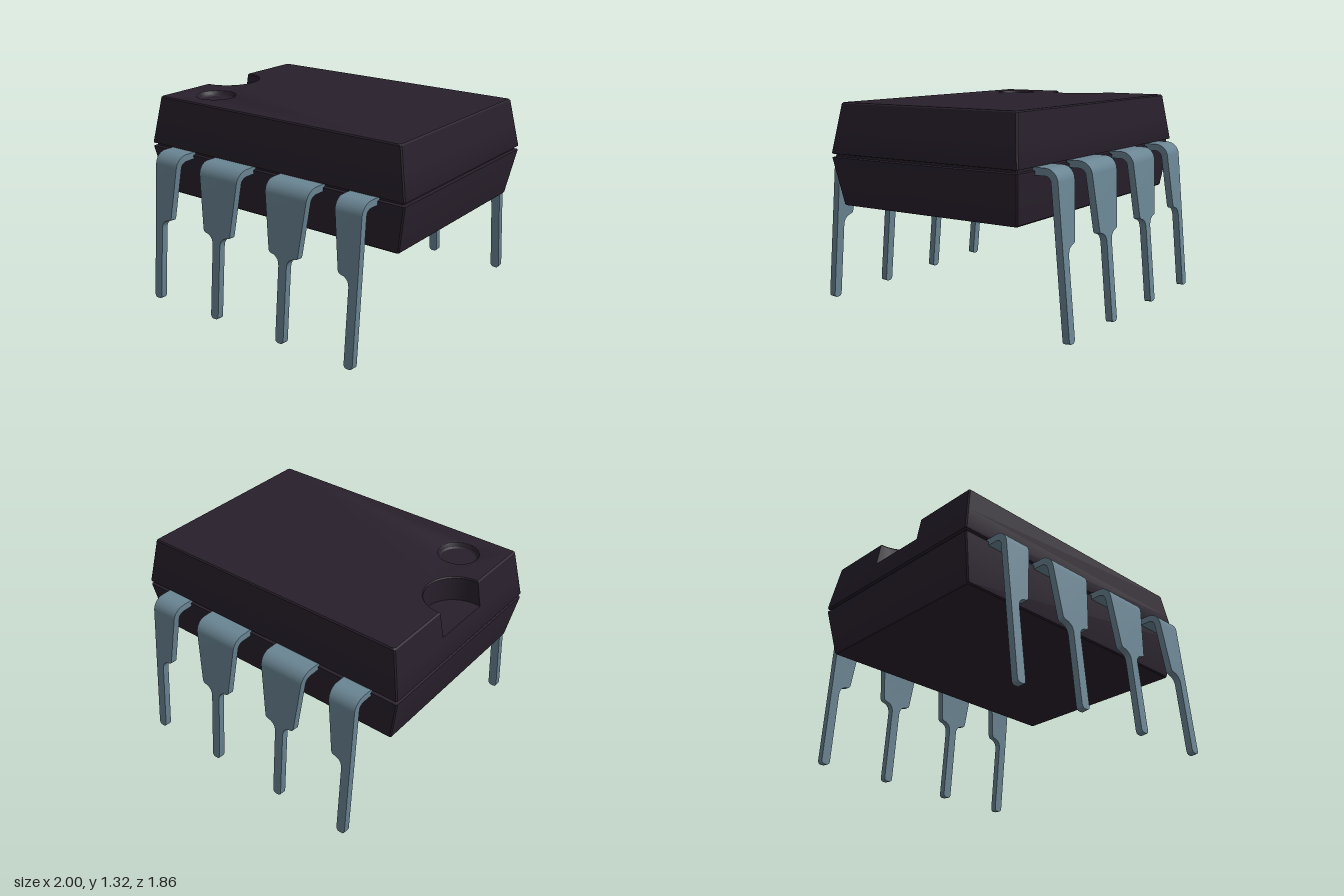
import * as THREE from 'three';
import { mergeGeometries, toCreasedNormals } from 'three/addons/utils/BufferGeometryUtils.js';

const bodyMaterial = new THREE.MeshStandardMaterial({ color: 0x28202c });
const pinMaterial = new THREE.MeshStandardMaterial({ color: 0x6a8593 });

const TOP = 1.32, FLOOR = 1.155;            // package top, notch floor
const NOTCH_X = -0.93, NOTCH_R = 0.205;
const DIMPLE = { x: -0.67, z: 0.415, r: 0.138 };

// Skin a list of equal-length closed loops of Vector3
function loft(loops, capEnd = false) {
  const out = [];
  const push = (...ps) => ps.forEach(p => out.push(p.x, p.y, p.z));
  for (let i = 0; i < loops.length - 1; i++) {
    const A = loops[i], B = loops[i + 1], n = A.length;
    for (let j = 0; j < n; j++) {
      const k = (j + 1) % n;
      push(A[j], A[k], B[k], A[j], B[k], B[j]);
    }
  }
  if (capEnd) {
    const L = loops[loops.length - 1];
    for (let j = 1; j < L.length - 1; j++) push(L[0], L[j], L[j + 1]);
  }
  const g = new THREE.BufferGeometry();
  g.setAttribute('position', new THREE.Float32BufferAttribute(out, 3));
  return g;
}

// Flat horizontal face from plan points, facing up or down
function flat(points, y, up = true, hole = null) {
  const shape = new THREE.Shape(points);
  if (hole) shape.holes.push(hole);
  return new THREE.ShapeGeometry(shape, 24).rotateX(up ? -Math.PI / 2 : Math.PI / 2).translate(0, y, 0);
}

// Semicircular notch edge, angles in quarter turns
function notchArc(r, from, to) {
  const pts = [];
  for (let i = 0; i <= 24; i++) {
    const a = (from + (to - from) * i / 24) * Math.PI / 2;
    pts.push(new THREE.Vector2(NOTCH_X + r * Math.cos(a), r * Math.sin(a)));
  }
  return pts;
}

// Plan outline of the package, optionally with the end notch of radius r
function outline(hx, hz, r = 0) {
  const c = 0.008, v = (x, y) => new THREE.Vector2(x, y);
  const notch = r ? [v(-hx, r), ...notchArc(r, 1, -1), v(-hx, -r)] : [];
  return [v(hx, -hz + c), v(hx, hz - c), v(hx - c, hz), v(-hx + c, hz), v(-hx, hz - c),
    ...notch, v(-hx, -hz + c), v(-hx + c, -hz), v(hx - c, -hz)];
}

const atHeight = (pts, y) => pts.map(p => new THREE.Vector3(p.x, y, -p.y));

function makeBody() {
  // Half sizes of the sloping upper half at height y
  const sizeAt = y => {
    const t = (y - 1.005) / (TOP - 1.005);
    return [1 - 0.06 * t, 0.697 - 0.042 * t];
  };
  // Lower half, seam groove and upper half up to the notch floor
  const levels = [
    [0.67, 0.932, 0.647], [0.678, 0.94, 0.655], [0.973, 0.998, 0.695], [0.979, 0.998, 0.695],
    [0.984, 0.98, 0.677], [0.998, 0.98, 0.677], [1.002, 0.998, 0.695], [1.008, ...sizeAt(1.008)],
    [FLOOR, ...sizeAt(FLOOR)]
  ];
  const lower = loft(levels.map(([y, hx, hz]) => atHeight(outline(hx, hz), y)));

  // Notched part with a softened top edge
  const [fx, fz] = sizeAt(FLOOR), [tx, tz] = sizeAt(TOP - 0.008);
  const cap = outline(tx - 0.008, tz - 0.008, NOTCH_R + 0.006);
  const upper = loft([
    atHeight(outline(fx, fz, NOTCH_R), FLOOR),
    atHeight(outline(tx, tz, NOTCH_R), TOP - 0.008),
    atHeight(cap, TOP)
  ]);
  const notchFloor = [new THREE.Vector2(-fx, -NOTCH_R), ...notchArc(NOTCH_R, -1, 1),
    new THREE.Vector2(-fx, NOTCH_R)];

  // Round index dimple
  const hole = new THREE.Path().absarc(DIMPLE.x, -DIMPLE.z, DIMPLE.r, 0, Math.PI * 2, true);
  const r = DIMPLE.r;
  const dish = new THREE.LatheGeometry(
    [[r, 0], [r - 0.007, -0.003], [r - 0.013, -0.012], [r - 0.02, -0.027], [r - 0.03, -0.034], [0, -0.035]]
      .map(p => new THREE.Vector2(...p)), 48).translate(DIMPLE.x, TOP, DIMPLE.z);

  const parts = [lower, upper, dish, flat(notchFloor, FLOOR), flat(cap, TOP, true, hole),
    flat(outline(0.932, 0.647), 0.67, false)].map(g => {
    const n = g.index ? g.toNonIndexed() : g;
    n.deleteAttribute('normal');
    n.deleteAttribute('uv');
    return n;
  });
  const mesh = new THREE.Mesh(toCreasedNormals(mergeGeometries(parts), 0.5), bodyMaterial);
  mesh.name = 'packageBody';
  return mesh;
}

// One bent pin; side is -1 or 1 for end pins cut straight on that side, 0 for full pins
function makePin(x, side) {
  const thick = 0.045, shaft = 0.031, lean = 0.0925;
  const stations = [];                      // outer z, outer y, normal angle, half width
  stations.push([0.6, 1, Math.PI / 2, 0.163]);
  const end = Math.atan(lean), R = 0.085;
  for (let i = 0; i <= 10; i++) {
    const a = Math.PI / 2 + (end - Math.PI / 2) * i / 10;
    const y = 0.915 + R * Math.sin(a);
    stations.push([0.76 + R * Math.cos(a), y, a, 0.163 - (1 - y) * 0.11]);
  }
  // Taper, rounded shoulder, fillet, shaft and rounded tip
  const [z0, y0] = stations[stations.length - 1];
  const widths = [[0.59, 0.113], [0.575, 0.11], [0.566, 0.102], [0.562, 0.09], [0.558, 0.072],
    [0.549, 0.055], [0.535, 0.041], [0.515, 0.033], [0.495, shaft], [0.025, shaft],
    [0.013, 0.027], [0.006, 0.019], [0.004, 0.012]];
  widths.forEach(([y, w]) => stations.push([z0 + (y0 - y) * lean, y, end, w]));

  const loops = stations.map(([z, y, a, w]) => {
    const straight = Math.min(w, shaft);
    const xl = x - (side < 0 ? straight : w), xr = x + (side > 0 ? straight : w);
    const zi = z - thick * Math.cos(a), yi = y - thick * Math.sin(a);
    return [[xl, yi, zi], [xr, yi, zi], [xr, y, z], [xl, y, z]].map(p => new THREE.Vector3(...p));
  });
  const mesh = new THREE.Mesh(toCreasedNormals(loft(loops, true), 0.5), pinMaterial);
  mesh.name = side ? 'endPin' : 'middlePin';
  return mesh;
}

export function createModel() {
  const model = new THREE.Group();
  model.name = 'chip';
  model.add(makeBody());

  const frontPins = new THREE.Group();
  frontPins.name = 'frontPins';
  [[-0.787, -1], [-0.27, 0], [0.27, 0], [0.787, 1]].forEach(([x, side]) => frontPins.add(makePin(x, side)));
  const backPins = frontPins.clone();
  backPins.name = 'backPins';
  backPins.rotation.y = Math.PI;
  model.add(frontPins, backPins);
  return model;
}
